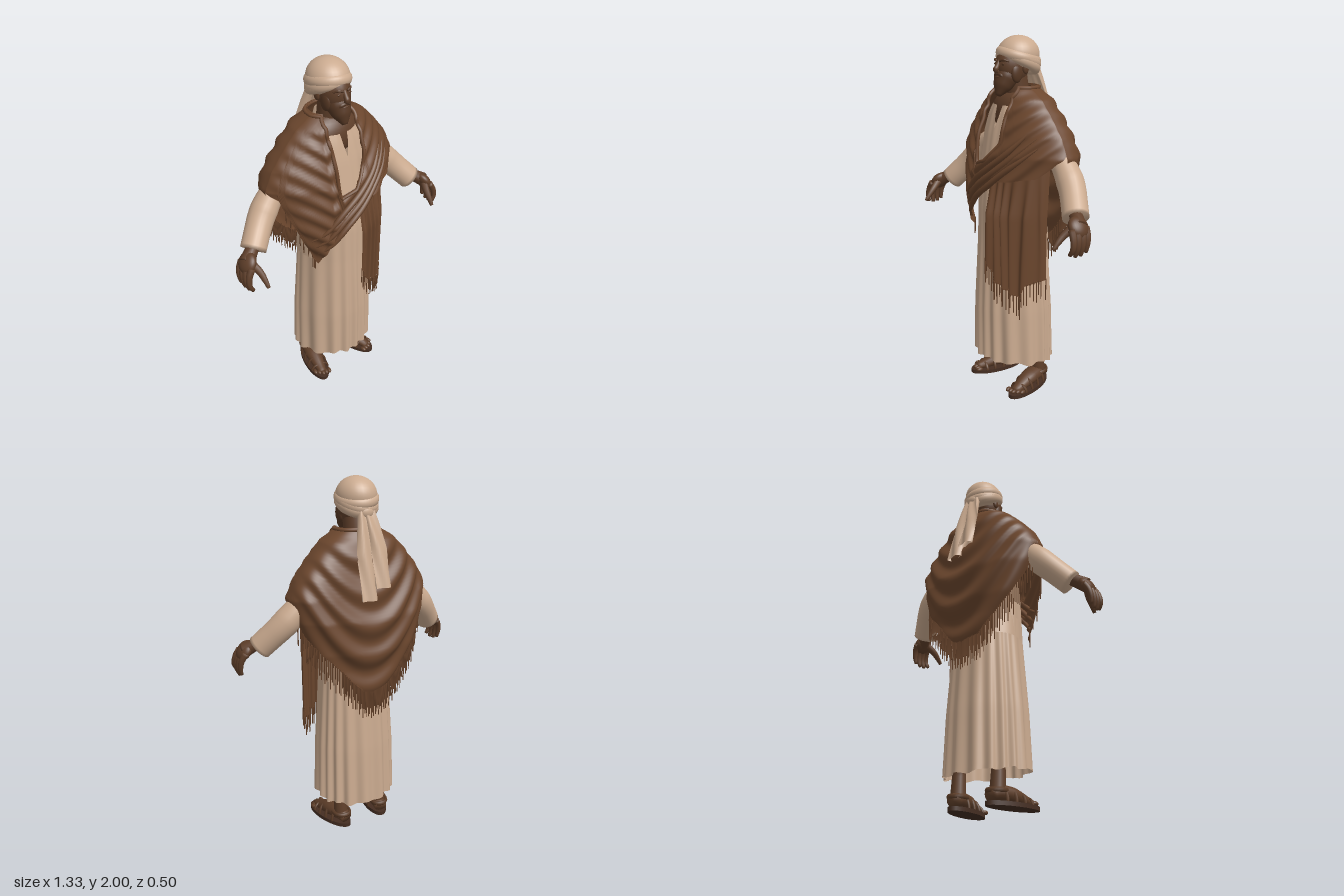
import * as THREE from 'three';
import { mergeGeometries } from 'three/addons/utils/BufferGeometryUtils.js';

const V = (x, y, z) => new THREE.Vector3(x, y, z);
const mat = (name, color, side = THREE.FrontSide) =>
  Object.assign(new THREE.MeshStandardMaterial({ color, side }), { name });

// Linear look-up in rows of [key, value, value, ...]
function at(rows, k, col = 1) {
  if (k <= rows[0][0]) return rows[0][col];
  for (let i = 1; i < rows.length; i++) {
    const a = rows[i - 1], b = rows[i];
    if (k <= b[0]) return a[col] + (b[col] - a[col]) * (k - a[0]) / (b[0] - a[0]);
  }
  return rows[rows.length - 1][col];
}

// Smooth surface from a rule fn(u, v), optionally closed around u
function grid(fn, nu, nv, wrap = false) {
  const pos = [], idx = [], cols = wrap ? nu : nu + 1;
  for (let j = 0; j <= nv; j++)
    for (let i = 0; i < cols; i++) pos.push(...fn(i / nu, j / nv).toArray());
  for (let j = 0; j < nv; j++)
    for (let i = 0; i < nu; i++) {
      const k = (i + 1) % cols, a = j * cols + i, b = j * cols + k, c = b + cols, d = a + cols;
      idx.push(a, b, c, a, c, d);
    }
  const g = new THREE.BufferGeometry();
  g.setAttribute('position', new THREE.Float32BufferAttribute(pos, 3));
  g.setIndex(idx);
  g.computeVertexNormals();
  return g;
}

// Tapered, capped tube along a path
function limb(path, radii, seg = 12, n = 16) {
  const curve = new THREE.CatmullRomCurve3(path.map(p => V(...p)));
  const f = curve.computeFrenetFrames(n);
  const rows = radii.map((r, i) => [i / (radii.length - 1), r]);
  return grid((u, v) => {
    const k = Math.min(n, Math.max(0, Math.round(v * (n + 2)) - 1));
    const r = v === 0 || v === 1 ? 0 : at(rows, k / n), a = u * Math.PI * 2;
    return curve.getPointAt(k / n)
      .addScaledVector(f.normals[k], r * Math.cos(a))
      .addScaledVector(f.binormals[k], r * Math.sin(a));
  }, seg, n + 2, true);
}

const ball = (x, y, z, sx, sy, sz) =>
  new THREE.SphereGeometry(1, 28, 20).scale(sx, sy, sz).translate(x, y, z);

// Cloth outlines: height, half width, front depth, back depth
const ROBE = [[.15, .235, .237, .185], [.5, .226, .233, .175], [.9, .203, .215, .15], [1.1, .2, .21, .145],
  [1.3, .2, .19, .14], [1.5, .2, .15, .13], [1.6, .17, .125, .12], [1.66, .13, .105, .1]];
const SHAWL = [[.85, .22, .235, .19], [1, .27, .238, .21], [1.1, .32, .236, .23], [1.28, .385, .222, .235],
  [1.4, .415, .204, .208], [1.5, .37, .174, .19], [1.6, .29, .145, .172], [1.68, .215, .12, .152], [1.75, .098, .08, .1]];
// Shawl edges: angle around the body, height
const HEM = [[-3.15, .86], [-2.7, .885], [-2.3, .99], [-2, 1.1], [-1.8, 1.2], [-1.65, 1.34], [-1.5, 1.4], [-1.15, 1.36],
  [-1.06, 1.13], [-1, .95], [-.92, .92], [-.5, 1.05], [0, 1.2], [.15, 1.25], [.9, 1.3], [1.2, 1.38], [1.5, 1.42], [1.65, 1.35],
  [1.8, 1.2], [2.2, 1.08], [2.6, .945], [2.9, .87], [3.15, .86]];
const TOP = [[-.85, 1.745], [-.52, 1.7], [-.33, 1.6], [-.26, 1.5], [-.22, 1.34], [0, 1.37], [.2, 1.46],
  [.24, 1.5], [.3, 1.6], [.47, 1.7], [.8, 1.745]];

// Point on a cloth outline; powers slim the front or square off the back
function around(rows, a, y, out = 0, frontPower = 1, backPower = 1) {
  const c = Math.cos(a);
  const z = c > 0 ? Math.pow(c, frontPower) * (at(rows, y, 2) + out) : -Math.pow(-c, backPower) * (at(rows, y, 3) + out);
  return V((at(rows, y, 1) + out) * Math.sin(a), y, z);
}
const shawlBase = (a, y, out) =>
  around(SHAWL, a, y, out, 1 + .5 * THREE.MathUtils.smoothstep(y, 1.15, 1.38), .62);
// Shawl point, with diagonal folds in front and hanging swags behind
function shawlPoint(a, y) {
  const p = shawlBase(a, y, 0), c = Math.cos(a);
  const front = Math.sin(62 * (y - .85 * Math.abs(p.x + .13)) + 1.5 * Math.sin(9 * p.x));
  const back = 1.3 * Math.sin(36 * (y - 2.4 * p.x * p.x) + Math.sin(7 * p.x + 1));
  const fold = front * Math.max(0, c) + back * Math.max(0, -c);
  return shawlBase(a, y, .010 * fold * Math.min(1, (1.78 - y) * 6));
}
// Hanging panel over the model's left front
const PANEL_END = [[0, .82], [.2, .71], [.74, .62], [.8, .7], [1, .73]];
function panelPoint(u, y) {
  const x = .035 + .272 * u, t = Math.min(1, Math.max(0, (1.38 - y) / .3));
  const depth = (.18 + .06 * t) * Math.sqrt(1 - (x / .309) ** 2);
  return V(x, y, depth + .012 * t * Math.sin(u * 34 + Math.sin(u * 9 + y * 3)));
}

export function createModel() {
  const root = new THREE.Group();
  root.name = 'robedMan';
  const linen = mat('linen', 0xcbab90, THREE.DoubleSide);
  const brown = mat('brownWool', 0x6b462d, THREE.DoubleSide);
  const skin = mat('skin', 0x5f3f2a);
  const hair = mat('hair', 0x563824);
  const leather = mat('leather', 0x5b3c27);
  const sole = mat('sole', 0x452e22);
  const add = (name, geo, m, parent = root) => {
    const mesh = new THREE.Mesh(geo, m);
    mesh.name = name;
    parent.add(mesh);
    return mesh;
  };

  // Pleated robe with a slit neckline
  add('robe', grid((u, v) => {
    const a = u * Math.PI * 2 - Math.PI;
    const low = .185 + .022 * Math.cos(a) + .006 * Math.sin(9 * a);
    const high = 1.645 - .12 * Math.max(0, 1 - Math.abs(a) / .16);
    const y = low + (high - low) * v;
    const pleat = .010 * Math.max(.12, 1 - v * 1.25) * Math.sin(17 * a + 1.6 * Math.sin(3 * a) + y);
    return around(ROBE, a, y, pleat);
  }, 180, 50, true), linen);
  // Cloth bloused over the waist at the sides and back
  add('waistFold', grid((u, v) => {
    const a = 1.15 + u * (Math.PI * 2 - 2.3);
    return around(ROBE, a, .91 + .12 * v, .012 * (1 - v) * Math.sin(u * Math.PI));
  }, 64, 8), linen);

  // Shawl wrapped over both shoulders, with a rolled edge
  add('shawl', grid((u, v) => {
    const a = u * Math.PI * 2 - Math.PI, lo = at(HEM, a);
    return shawlPoint(a, lo + (at(TOP, a) - lo) * v);
  }, 240, 60, true), brown);
  const edge = [];
  for (let i = 0; i < 120; i++) {
    const a = i / 120 * Math.PI * 2 - Math.PI;
    edge.push(shawlPoint(a, at(TOP, a) - .01));
  }
  add('shawlRoll', new THREE.TubeGeometry(new THREE.CatmullRomCurve3(edge, true), 240, .01, 8, true), brown);
  // Broad folds of the diagonal swath
  for (const d of [.05, .1, .15]) {
    const pts = [-.85, -.55, -.2, .1, .35, .6, .85].map((a, i) => {
      const y = [1.15, 1.2, 1.3, 1.38, 1.46, 1.54, 1.6][i] - d;
      return shawlBase(a, y, 0).toArray();
    });
    add('swathFold', limb(pts, [.004, .016, .018, .016, .004], 8, 28), brown);
  }
  add('hangingPanel', grid((u, v) => {
    const lo = at(PANEL_END, u);
    return panelPoint(u, lo + (1.38 - lo) * v);
  }, 70, 30), brown);

  // Fringe strands along the hems
  const strands = [];
  const strand = (p, len) => strands.push(
    new THREE.CylinderGeometry(.0045, .003, len, 4).translate(p.x, p.y - len / 2 + .008, p.z));
  const hemStrands = (from, to, n, len) => {
    for (let i = 0; i <= n; i++) {
      const a = from + (to - from) * i / n;
      strand(shawlPoint(a, at(HEM, a)), len * (1 + .25 * Math.sin(i * 2.3)));
    }
  };
  hemStrands(-Math.PI, -1.7, 48, .13);
  hemStrands(1.72, Math.PI, 48, .13);
  hemStrands(-1.12, -.97, 8, .07);
  for (let i = 0; i <= 34; i++)
    strand(panelPoint(i / 34, at(PANEL_END, i / 34)), .105 + .025 * Math.sin(i * 2.1));
  add('fringe', mergeGeometries(strands), brown);

  // Neck, chest and head
  add('chest', ball(0, 1.6, 0, .165, .125, .1), skin);
  add('neck', limb([[0, 1.56, -.02], [0, 1.7, -.01], [0, 1.84, .01]], [.075, .064, .062], 20), skin);
  add('head', ball(0, 1.845, .025, .08, .105, .096), skin);
  add('nose', limb([[0, 1.875, .108], [0, 1.845, .124], [0, 1.826, .134], [0, 1.816, .118]],
    [.009, .012, .015, .01], 10), skin);
  add('beard', limb([[0, 1.82, .045], [0, 1.775, .072], [0, 1.735, .097], [0, 1.695, .12]],
    [.066, .064, .047, .014], 20), hair);
  add('mouth', ball(0, 1.792, .122, .02, .005, .008), skin);
  for (const s of [-1, 1]) {
    add('moustache', limb([[0, 1.808, .122], [s * .022, 1.802, .117], [s * .04, 1.78, .102]], [.008, .01, .004], 8), hair);
    add('eyebrow', limb([[s * .012, 1.872, .118], [s * .035, 1.878, .11], [s * .056, 1.87, .092]], [.006, .007, .004], 8), hair);
    add('eye', ball(s * .031, 1.856, .111, .012, .006, .004), hair);
    add('sideburn', ball(s * .064, 1.81, .045, .018, .05, .035), hair);
    add('ear', ball(s * .082, 1.835, 0, .012, .03, .02), skin);
  }

  // Wound head cloth and its two trailing ends
  add('turbanCrown', ball(0, 1.9, -.017, .108, .1, .117), linen);
  [[-.34, .05, 1.872], [-.24, -.12, 1.89], [-.42, -.02, 1.862]].forEach(([tilt, roll, y]) => {
    const wrap = add('turbanWrap', new THREE.TorusGeometry(.09, .026, 14, 48).rotateX(Math.PI / 2).scale(1, 1.2, 1.1), linen);
    wrap.position.set(0, y, -.018);
    wrap.rotation.set(tilt, 0, roll);
  });
  add('turbanKnot', ball(0, 1.825, -.12, .04, .034, .024), linen);
  for (const s of [-1, 1])
    add('turbanTail', grid((u, v) => {
      const a = u * Math.PI * 2, w = .03 + .017 * Math.min(1, v * 2);
      const y = 1.84 - (.42 + .03 * s) * v;
      return V(s * (.014 + .027 * Math.min(1, v * 2)) + w * Math.cos(a), y,
        -.112 - .115 * Math.pow(v, .85) + .017 * Math.sin(a) + .007 * Math.sin(3 * a + 5 * v));
    }, 28, 20, true), linen);

  // Arms and legs, mirrored
  for (const s of [-1, 1]) {
    const side = new THREE.Group();
    side.name = s > 0 ? 'leftLimbs' : 'rightLimbs';
    root.add(side);
    const m = pts => pts.map(([x, y, z]) => [s * x, y, z]);
    add('sleeve', limb(m([[.25, 1.43, -.035], [.335, 1.37, -.035], [.43, 1.27, -.014], [.545, 1.14, .06]]),
      [.05, .064, .073, .069, .068], 24, 24), linen, side);
    add('wrist', limb(m([[.5, 1.19, .04], [.57, 1.15, .08], [.615, 1.12, .105]]), [.032, .034, .04]), skin, side);
    const palm = add('palm', ball(0, 0, 0, .033, .058, .058), skin, side);
    palm.position.set(s * .612, 1.12, .108);
    palm.rotation.z = s * .6;
    for (let i = 0; i < 4; i++) {
      const z = .066 + .031 * i, d = Math.abs(i - 1.5) * .012;
      add('finger', limb(m([[.62, 1.115, z], [.643, 1.075, z + .008], [.649, 1.03, z + .016], [.644 - .004 * i, .978 + d, z + .02]]),
        [.019, .017, .015, .01], 8, 10), skin, side);
    }
    add('thumb', limb(m([[.6, 1.12, .13], [.582, 1.085, .175], [.577, 1.05, .21], [.575, 1.02, .235]]),
      [.024, .02, .016, .01], 8, 10), skin, side);

    // Sandalled foot, turned outward
    const foot = new THREE.Group();
    foot.name = 'foot';
    foot.position.x = s * .145;
    foot.rotation.y = s * .23;
    side.add(foot);
    add('ankle', limb([[0, .05, -.065], [0, .14, -.06], [0, .34, -.05]], [.043, .036, .05], 16), skin, foot);
    add('footBody', limb([[0, .05, -.115], [0, .065, -.06], [0, .06, .03], [0, .04, .12], [0, .033, .16]],
      [.03, .042, .042, .032, .02], 16).scale(1.2, 1, 1), skin, foot);
    for (let i = 0; i < 5; i++)
      add('toe', ball((i - 2) * .021, .031, .165 - Math.abs(i - 2) * .007 - s * (i - 2) * .006, .012, .012, .02), skin, foot);
    add('sandalSole', new THREE.CylinderGeometry(1, 1, .022, 36).scale(.066, 1, .166).translate(0, .011, .032), sole, foot);
    for (const [z, h, w] of [[-.045, .095, .056], [.01, .096, .058], [.065, .082, .057], [.115, .062, .053]])
      add('sandalStrap', new THREE.TorusGeometry(1, .12, 6, 24, Math.PI)
        .scale(w, h - .02, .07).translate(0, .02, z), leather, foot);
    add('heelStrap', new THREE.TorusGeometry(.048, .009, 6, 28).rotateX(Math.PI / 2).scale(1, 1.5, 1.15)
      .translate(0, .075, -.065), leather, foot);
  }
  return root;
}
